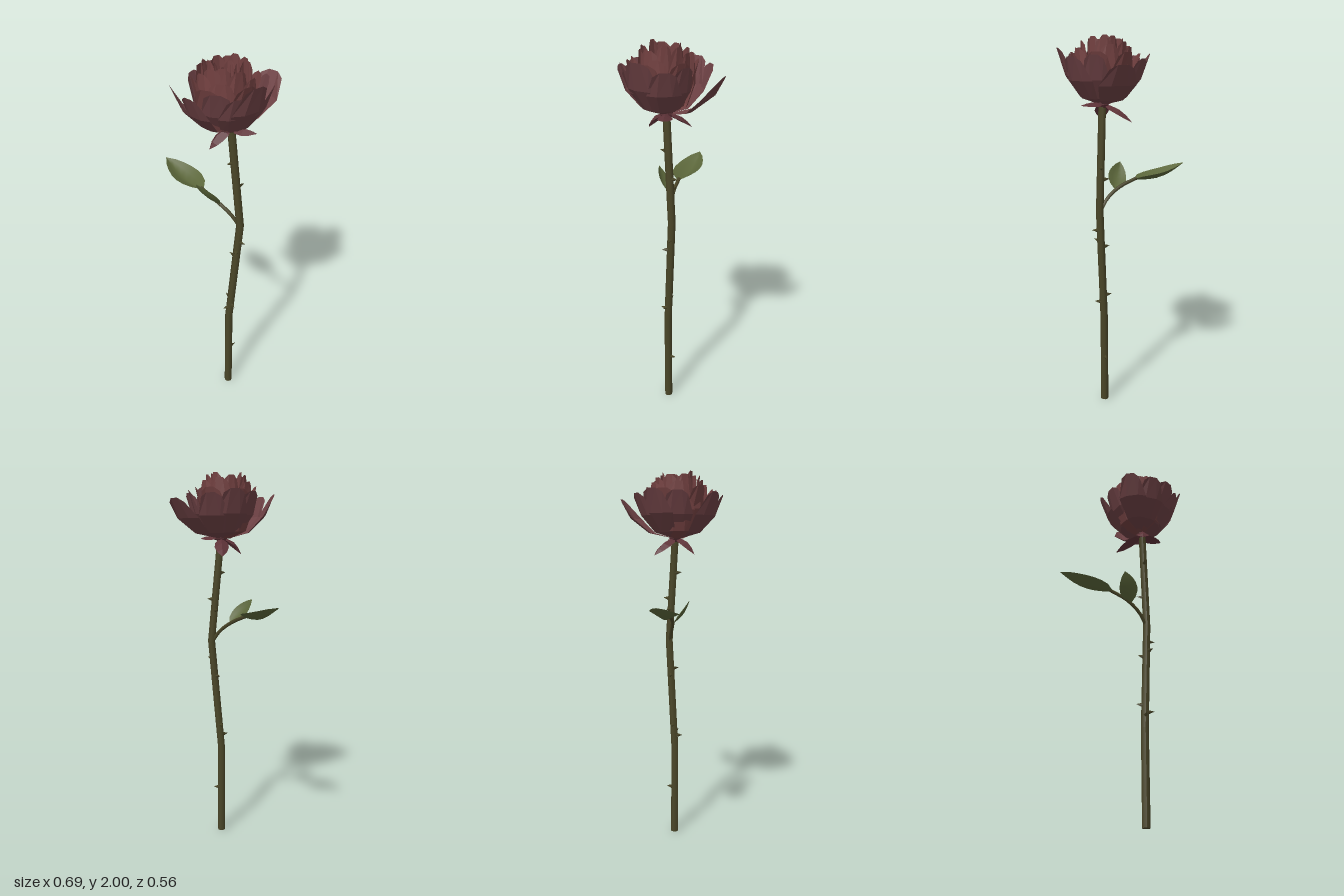
import * as THREE from 'three';

const V = (x, y, z) => new THREE.Vector3(x, y, z);
const mat = (color, flat = false) =>
  new THREE.MeshStandardMaterial({ color, flatShading: flat, side: THREE.DoubleSide, roughness: 0.8 });

// Surface through a grid of points: at(row, column) gives each one
function patch(rows, cols, at) {
  const pos = [], index = [];
  for (let i = 0; i < rows; i++) {
    for (let j = 0; j < cols; j++) {
      pos.push(...at(i, j).toArray());
      if (i < rows - 1 && j < cols - 1) {
        const a = i * cols + j, b = a + cols;
        index.push(a, b, a + 1, a + 1, b, b + 1);
      }
    }
  }
  const g = new THREE.BufferGeometry();
  g.setAttribute('position', new THREE.Float32BufferAttribute(pos, 3));
  g.setIndex(index);
  g.computeVertexNormals();
  return g;
}

// Cupped petal around a vertical axis; closed petals rise steeply, open ones flare
const OPEN = [0.08, 0.5, 0.82, 1], CLOSED = [0.15, 0.75, 1, 0.97];
const RISE = [0, 0.13, 0.5, 1], SPREAD = [0.9, 1, 0.95, 0.5], ACROSS = [-1, -0.4, 0.4, 1];
function petal(cx, cz, deg, radius, top, halfDeg, profile) {
  const base = 1.655, rad = Math.PI / 180;
  return patch(4, 4, (i, j) => {
    const u = ACROSS[j], a = (deg + u * halfDeg * SPREAD[i]) * rad;
    const r = radius * profile[i] * (1 - 0.04 * u * u) + 0.004 * u;
    const y = base + (top - base) * RISE[i] - (i === 3 ? 0.025 * u * u : 0);
    return V(cx + r * Math.cos(a), y, cz + r * Math.sin(a));
  });
}

// Pointed blade from a to b, folded along its midrib and arched
function blade(a, b, width, side, fold, arch, rows = 8) {
  const dir = b.clone().sub(a).normalize();
  const up = side.clone().cross(dir).normalize();
  if (up.y < 0) up.negate();
  return patch(rows, 5, (i, j) => {
    const t = i / (rows - 1), u = (j - 2) / 2;
    const w = width * Math.pow(Math.max(0, Math.sin(Math.PI * Math.pow(t, 0.85))), 0.8);
    return a.clone().lerp(b, t)
      .addScaledVector(side, u * w)
      .addScaledVector(up, Math.abs(u) * w * fold + arch * Math.sin(Math.PI * t));
  });
}

export function createModel() {
  const model = new THREE.Group();
  const add = (name, geometry, material, parent = model) => {
    const m = new THREE.Mesh(geometry, material);
    m.name = name;
    parent.add(m);
    return m;
  };
  const group = (name) => {
    const g = new THREE.Group();
    g.name = name;
    model.add(g);
    return g;
  };
  const outerMat = mat(0x6d4144, true), innerMat = mat(0x734141, true);
  const sepalMat = mat(0x5e3338, true), stemMat = mat(0x4a4628), leafMat = mat(0x5b663a);

  // Stem: a cylinder whose rings follow a bent path
  const path = [V(0.122, 0, 0.015), V(0.122, 0.5, 0.015), V(0.15, 1.1, -0.03), V(0.122, 1.67, 0.015)];
  const stem = new THREE.CylinderGeometry(0.02, 0.021, 3, 8, 3);
  const p = stem.attributes.position;
  for (let i = 0; i < p.count; i++) {
    const c = path[Math.round(p.getY(i) + 1.5)];
    p.setXYZ(i, p.getX(i) + c.x, c.y, p.getZ(i) + c.z);
  }
  stem.computeVertexNormals();
  add('stem', stem, stemMat);

  const stemAt = (y) => {
    const k = y < 0.5 ? 0 : y < 1.1 ? 1 : 2;
    return path[k].clone().lerp(path[k + 1], (y - path[k].y) / (path[k + 1].y - path[k].y));
  };

  // Thorns: height on the stem and direction in degrees (0 = +x, 90 = +z)
  const thorns = group('thorns');
  [[0.26, -90], [0.565, 90], [0.585, 10], [0.625, 180], [0.905, 170], [0.94, 50],
    [1.0, -10], [1.27, 190], [1.33, -90], [1.47, 90]].forEach(([y, deg]) => {
    const a = deg * Math.PI / 180, d = V(Math.cos(a), 0.1, Math.sin(a)).normalize();
    const t = add('thorn', new THREE.ConeGeometry(0.013, 0.035, 4), stemMat, thorns);
    t.position.copy(stemAt(y)).addScaledVector(d, 0.031);
    t.quaternion.setFromUnitVectors(V(0, 1, 0), d);
  });

  // Leaf stalk and its two leaves
  const stalk = new THREE.CatmullRomCurve3(
    [V(0.15, 1.09, -0.03), V(0.105, 1.16, 0), V(0.03, 1.215, 0.035), V(-0.07, 1.255, 0.06)]);
  add('leafStalk', new THREE.TubeGeometry(stalk, 8, 0.01, 5), stemMat);
  add('largeLeaf', blade(V(-0.05, 1.25, 0.055), V(-0.345, 1.325, 0.09), 0.073,
    V(0.11, -0.04, 0.99).normalize(), 0.5, -0.035), leafMat);
  add('smallLeaf', blade(V(0.055, 1.205, 0.03), V(0, 1.335, 0.14), 0.052,
    V(0.9, 0.38, 0.02).normalize(), 0.3, -0.015), leafMat);

  // Sepals drooping under the flower
  const sepals = group('sepals');
  [[V(0.245, 1.655, -0.045), 0.01], [V(0.105, 1.57, 0.13), 0.025], [V(-0.02, 1.565, -0.05), 0.02]]
    .forEach(([tip, arch]) => {
      const root = V(0.122, 1.66, 0.015);
      const side = tip.clone().sub(root).cross(V(0, 1, 0)).normalize();
      add('sepal', blade(root, tip, 0.038, side, -0.55, arch, 5), sepalMat, sepals);
    });
  add('flowerBase', new THREE.SphereGeometry(0.034, 8, 5), sepalMat).position.set(0.12, 1.665, 0.015);

  // Outer petals: direction, reach, top height, half width in degrees
  const outer = group('outerPetals');
  [[-97, 0.312, 1.865, 25], [2, 0.232, 1.94, 32], [-33, 0.222, 1.9, 30], [-136, 0.24, 1.89, 27],
    [-166, 0.24, 1.91, 28], [160, 0.205, 1.9, 32], [114, 0.268, 1.89, 22], [84, 0.245, 1.88, 24],
    [52, 0.212, 1.91, 32], [24, 0.212, 1.89, 30], [-65, 0.19, 1.91, 30]]
    .forEach(([deg, r, top, half]) =>
      add('outerPetal', petal(0.115, 0.03, deg, r, top, half, OPEN), outerMat, outer));

  // Inner rings: count, radius, top height, half width, profile
  const inner = group('innerPetals');
  [[6, 0.172, 1.925, 38, OPEN], [6, 0.147, 1.955, 38, CLOSED], [5, 0.118, 1.985, 44, CLOSED],
    [5, 0.09, 2, 44, CLOSED], [4, 0.058, 1.98, 52, CLOSED], [3, 0.028, 1.965, 66, CLOSED]]
    .forEach(([n, r, top, half, profile], k) => {
      for (let i = 0; i < n; i++) {
        const wobble = Math.sin(i * 2.4 + k * 1.7);
        const deg = (i / n) * 360 + k * 37 + wobble * 8;
        add('innerPetal', petal(0.105, 0.038, deg, r * (1 + 0.08 * wobble),
          top - 0.01 * (1 + wobble) + 0.004, half, profile), innerMat, inner);
      }
    });

  return model;
}
